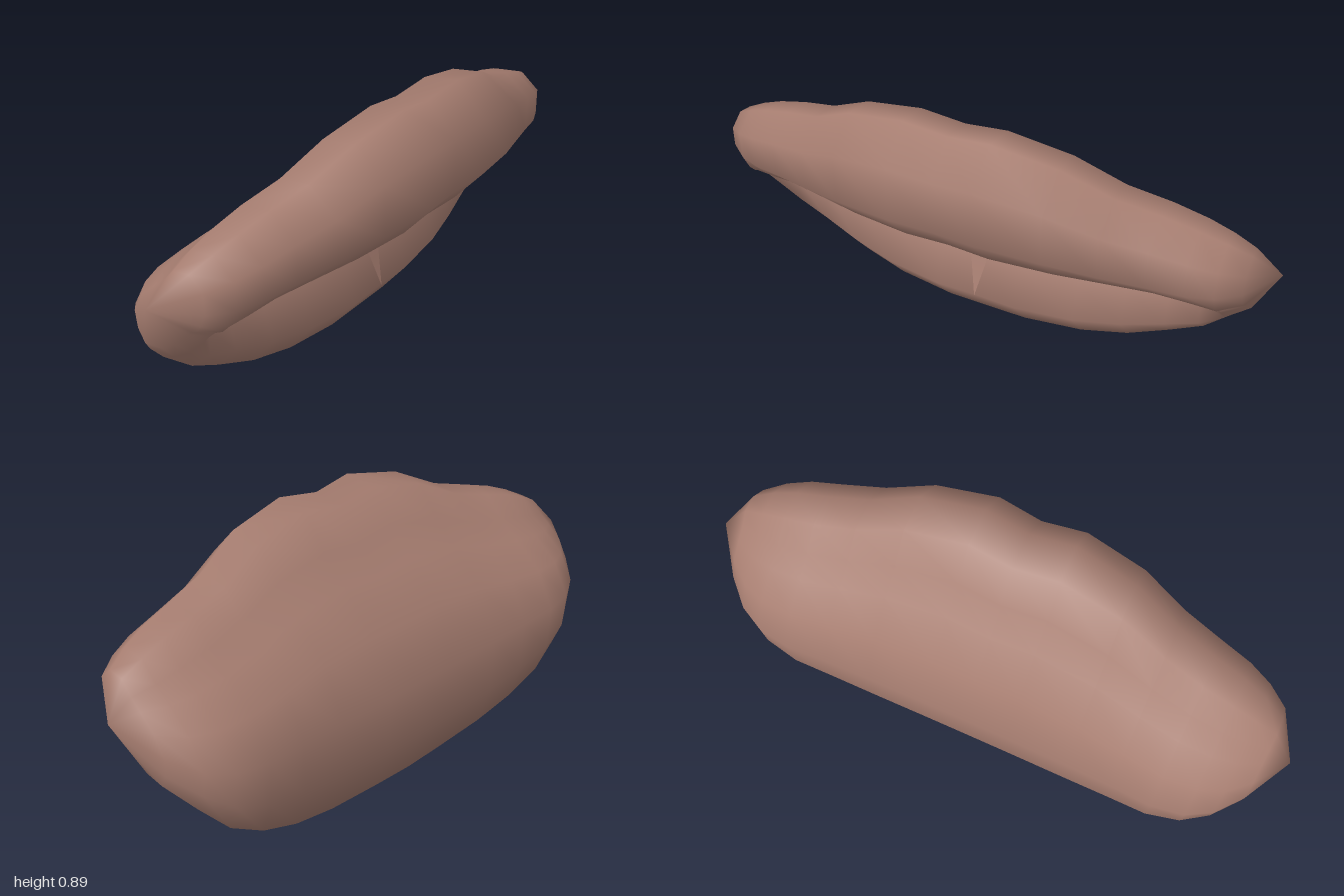
import * as THREE from 'three';
import { mergeVertices } from 'three/addons/utils/BufferGeometryUtils.js';

const skin = new THREE.MeshStandardMaterial({ color: 0xa67d70 });

// Cross-section: [depth 0 back..1 front, height -1 bottom..0 mouth line..1 top, depth where the mouth has closed]
const PROFILE = [
  [0.28, 0, 0.81], [0.6, 0.06, 0.87], [0.83, 0.17, 0.93],         // underside of upper lip
  [1, 0.40, 1], [1, 0.77, 1], [0.82, 1, 0.82], [0.62, 0.97, 0.62], // upper lip
  [0.48, 0.74, 0.48], [0.33, 0.56, 0.33], [0.13, 0.30, 0.13],      // back
  [0, -0.1, 0], [0.01, -0.62, 0.02], [0.09, -1, 0.1],
  [0.35, -0.93, 0.35], [0.51, -0.64, 0.53],                        // lower lip
  [0.44, -0.27, 0.69], [0.39, -0.12, 0.75],
];

// Half the width: x, top, mouth line, bottom, front, back, mouth closing
const STATIONS = [
  [0, 0.875, 0.40, 0.001, 0.295, -0.295, 0],
  [0.15, 0.895, 0.40, 0.006, 0.31, -0.296, 0],
  [0.36, 0.855, 0.405, 0.025, 0.28, -0.30, 0],
  [0.52, 0.78, 0.41, 0.06, 0.23, -0.305, 0.02],
  [0.66, 0.745, 0.415, 0.12, 0.195, -0.315, 0.08],
  [0.77, 0.715, 0.42, 0.185, 0.17, -0.30, 0.35],
  [0.85, 0.685, 0.435, 0.275, 0.138, -0.26, 0.95],
  [0.92, 0.65, 0.47, 0.36, 0.09, -0.185, 1],
  [1, 0.55, 0.55, 0.55, -0.05, -0.05, 1],
];

// Lips lofted through the mirrored sections, drawn to a rounded tip at each corner
function lipsGeometry() {
  const rows = [...STATIONS.slice(1).reverse().map(([x, ...r]) => [-x, ...r]), ...STATIONS];
  const n = PROFILE.length;
  const pos = [];
  const index = [];
  for (const [x, top, mid, bottom, front, back, closed] of rows) {
    for (const [open, h, shut] of PROFILE) {
      const y = mid + (h > 0 ? h * (top - mid) : h * (mid - bottom));
      const t = THREE.MathUtils.lerp(open, shut, closed);
      pos.push(x, y, THREE.MathUtils.lerp(back, front, t));
    }
  }
  for (let i = 0; i < rows.length - 1; i++) {
    for (let j = 0; j < n; j++) {
      const a = i * n + j, b = a + n;
      const c = i * n + (j + 1) % n, d = c + n;
      if (i > 0) index.push(a, b, c);
      if (i < rows.length - 2) index.push(b, d, c);
      if (i === 0) index.push(b, d, c);
      if (i === rows.length - 2) index.push(a, b, c);
    }
  }
  const g = new THREE.BufferGeometry();
  g.setAttribute('position', new THREE.Float32BufferAttribute(pos, 3));
  g.setIndex(index);
  const merged = mergeVertices(g);
  merged.computeVertexNormals();
  return merged;
}

// Small diamond facet down the middle of the lower lip
function facetGeometry() {
  const g = new THREE.BufferGeometry();
  g.setAttribute('position', new THREE.Float32BufferAttribute([
    0, 0.36, -0.048, -0.03, 0.29, -0.019, 0, 0.15, 0.018, 0.03, 0.29, -0.019,
  ], 3));
  g.setIndex([0, 1, 3, 1, 2, 3]);
  g.computeVertexNormals();
  return g;
}

export function createModel() {
  const group = new THREE.Group();
  group.name = 'mouth';
  const lips = new THREE.Mesh(lipsGeometry(), skin);
  lips.name = 'lips';
  const facet = new THREE.Mesh(facetGeometry(), skin);
  facet.name = 'lowerLipFacet';
  group.add(lips, facet);
  return group;
}
